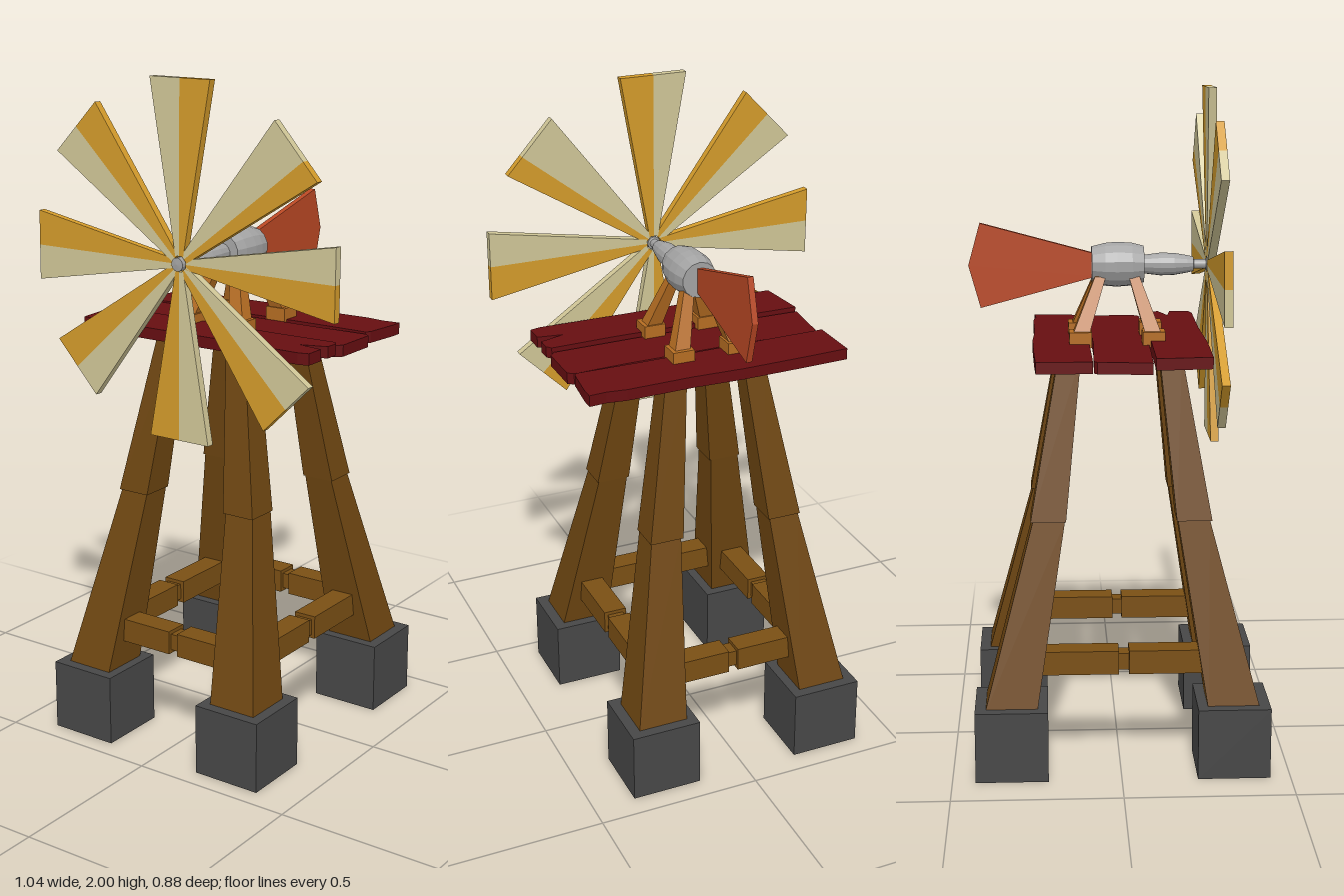
import * as THREE from 'three';

const mat = (name, color, flatShading = false) => {
  const m = new THREE.MeshStandardMaterial({ color, flatShading });
  m.name = name;
  return m;
};

export function createModel() {
  const root = new THREE.Group();
  root.name = 'windPump';
  const gold = mat('gold', 0xd39b2b), cream = mat('cream', 0xd0c697);
  const legWood = mat('legWood', 0x6e4611), beamWood = mat('beamWood', 0x7a4f14);
  const stone = mat('stone', 0x474747), red = mat('darkRed', 0x660e11);
  const strutWood = mat('strutWood', 0xb56d22), metal = mat('metal', 0xa3a3a3, true);
  const rust = mat('rust', 0xb94824);

  const add = (parent, name, geometry, material, x = 0, y = 0, z = 0) => {
    const mesh = new THREE.Mesh(geometry, material);
    mesh.name = name;
    mesh.position.set(x, y, z);
    parent.add(mesh);
    return mesh;
  };

  // Leaning square post between two centres [x, y, z, halfWidth]
  const post = (a, b) => {
    const g = new THREE.BoxGeometry(2, 2, 2);
    const p = g.attributes.position;
    for (let i = 0; i < p.count; i++) {
      const e = p.getY(i) < 0 ? a : b;
      p.setXYZ(i, e[0] + p.getX(i) * e[3], e[1], e[2] + p.getZ(i) * e[3]);
    }
    g.computeVertexNormals();
    return g;
  };

  const plate = (points, depth) => new THREE.ExtrudeGeometry(
    new THREE.Shape(points.map(([x, y]) => new THREE.Vector2(x, y))),
    { depth, bevelEnabled: false });

  // Feet, two-piece legs and the struts above the platform
  const CX = -0.005, CZ = 0.004;
  for (const sx of [-1, 1]) for (const sz of [-1, 1]) {
    const at = (x, y, z, h) => [CX + sx * x, y, CZ + sz * z, h];
    add(root, 'foot', new THREE.BoxGeometry(0.215, 0.215, 0.215), stone,
      CX + sx * 0.268, 0.1075, CZ + sz * 0.328);
    add(root, 'lowerLeg', post(at(0.268, 0.2, 0.33, 0.077), at(0.192, 0.757, 0.213, 0.047)), legWood);
    add(root, 'upperLeg', post(at(0.192, 0.755, 0.215, 0.052), at(0.123, 1.24, 0.147, 0.033)), legWood);
    add(root, 'strutBase', new THREE.BoxGeometry(0.067, 0.045, 0.066), strutWood,
      -0.007 + sx * 0.087, 1.274, -0.003 + sz * 0.108);
    add(root, 'strut', post([-0.007 + sx * 0.087, 1.29, -0.003 + sz * 0.106, 0.024],
      [-0.002 + sx * 0.032, 1.45, sz * 0.05, 0.016]), strutWood);
  }

  // Cross beams: two halves joined by a thinner core
  const beam = (name, length, x, z, turn) => {
    const g = new THREE.Group();
    g.name = name;
    const half = (length - 0.03) / 2;
    for (const s of [-1, 1]) {
      add(g, 'beamHalf', new THREE.BoxGeometry(half, 0.072, 0.072), beamWood, s * (half / 2 + 0.015));
    }
    add(g, 'beamCore', new THREE.BoxGeometry(0.06, 0.05, 0.05), beamWood);
    g.position.set(x, 0.334, z);
    g.rotation.y = turn;
    root.add(g);
  };
  for (const s of [-1, 1]) {
    beam('crossBeam', 0.44, CX + 0.006, CZ + s * 0.302, 0);
    beam('sideBeam', 0.54, CX + s * 0.25, CZ + 0.006, Math.PI / 2);
  }

  // Platform planks, outlines given as [x, z]
  const planks = [
    [1.228, [[-0.4, -0.083], [-0.4, -0.243], [-0.29, -0.247], [-0.06, -0.252], [0.1, -0.246],
      [0.3, -0.251], [0.36, -0.243], [0.412, -0.247], [0.412, -0.21], [0.4, -0.1], [0.39, -0.088],
      [0.2, -0.09], [-0.1, -0.085]]],
    [1.224, [[-0.4, 0.086], [-0.385, -0.07], [-0.37, -0.08], [-0.13, -0.073], [0.22, -0.074],
      [0.395, -0.08], [0.412, -0.068], [0.412, 0.07], [0.395, 0.088], [0.1, 0.092], [-0.2, 0.09]]],
    [1.236, [[-0.385, 0.255], [-0.4, 0.094], [-0.1, 0.096], [0.2, 0.1], [0.4, 0.094], [0.412, 0.11],
      [0.412, 0.152], [0.335, 0.176], [0.412, 0.188], [0.412, 0.25], [0.38, 0.258], [0.1, 0.255],
      [-0.15, 0.26]]],
  ];
  for (const [y, pts] of planks) {
    const g = plate(pts.map(([x, z]) => [x, -z]), 0.034).rotateX(-Math.PI / 2);
    add(root, 'platformPlank', g, red, 0, y, 0);
  }

  // Gearbox, neck and shaft: one turned profile along z
  const profile = [[0, -0.075], [0.054, -0.075], [0.064, -0.035], [0.067, 0], [0.064, 0.045],
    [0.055, 0.08], [0.028, 0.082], [0.034, 0.13], [0.033, 0.17], [0.026, 0.21], [0.022, 0.228],
    [0.014, 0.23], [0.014, 0.265], [0.02, 0.267], [0.02, 0.302], [0, 0.304]];
  const body = new THREE.LatheGeometry(profile.map(([r, y]) => new THREE.Vector2(r, y)), 14)
    .rotateX(Math.PI / 2);
  add(root, 'gearbox', body, metal, 0, 1.48, 0);

  // Tail vane, outline given as [-z, y]
  const vane = plate([[0.06, -0.035], [0.405, -0.127], [0.44, 0], [0.405, 0.125], [0.06, 0.032]], 0.018)
    .rotateY(Math.PI / 2);
  add(root, 'tailVane', vane, rust, -0.01, 1.48, 0);

  // Rotor: eight two-tone blades, slightly tilted back
  const rotor = new THREE.Group();
  rotor.name = 'rotor';
  rotor.position.set(0, 1.48, 0.28);
  rotor.rotation.x = -0.017;
  const angles = [90, 42, 0, -45, -90, 223, 180, 136];
  angles.forEach((deg, i) => {
    const blade = new THREE.Group();
    blade.name = 'blade';
    const split = i === 1 ? 0.035 : 0;
    const inner = 0.014, outer = 0.104, r0 = 0.022, r1 = 0.52;
    add(blade, 'creamHalf', plate([[-inner, r0], [0, r0], [split, r1], [-outer, r1]], 0.024),
      cream, 0, 0, -0.012);
    add(blade, 'goldHalf', plate([[0, r0], [inner, r0], [outer, r1], [split, r1]], 0.024),
      gold, 0, 0, -0.012);
    blade.rotation.z = THREE.MathUtils.degToRad(deg - 90);
    rotor.add(blade);
  });
  root.add(rotor);
  return root;
}
